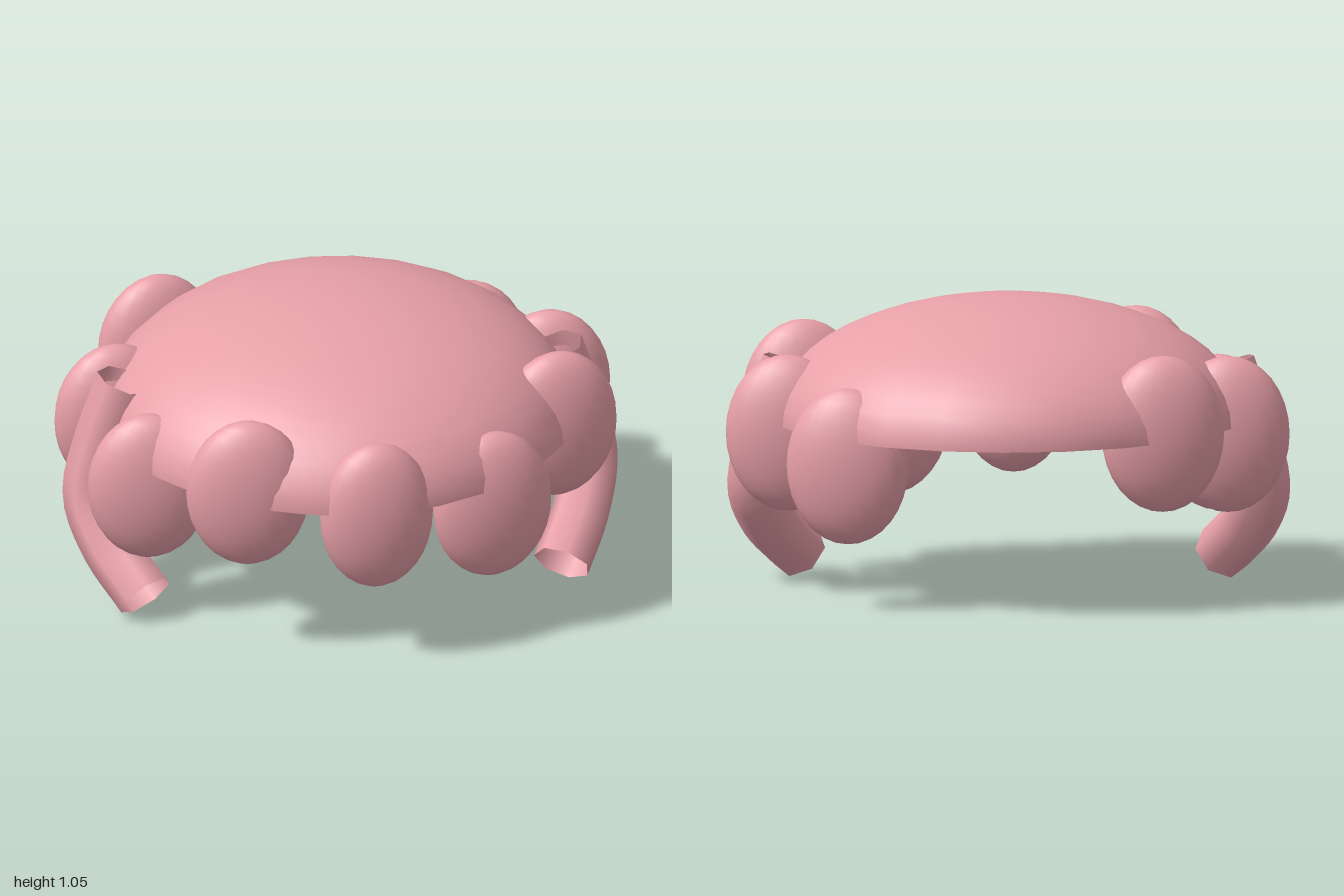
import * as THREE from 'three';

export function createModel() {
  const model = new THREE.Group();
  const material = new THREE.MeshStandardMaterial({ color: 0xe8a0a8, side: THREE.DoubleSide });

  function add(name, geometry, parent = model) {
    const mesh = new THREE.Mesh(geometry, material);
    mesh.name = name;
    parent.add(mesh);
    return mesh;
  }

  // Open, flattened half-sphere shell
  const dome = add('dome', new THREE.SphereGeometry(1, 24, 12, 0, Math.PI * 2, 0, Math.PI / 2));
  dome.scale.set(0.8425, 0.435, 0.8425);
  dome.position.set(0, 0.615, -0.0175);

  // Oval lobes around the rim; the back is left open
  const lobes = new THREE.Group();
  lobes.name = 'rimLobes';
  model.add(lobes);
  const lobeGeometry = new THREE.SphereGeometry(1, 24, 16);
  const spots = [[0, 0.755, 0], [0.44, 0.62, 0.15], [0.735, 0.273, 0.12], [0.782, -0.172, -0.06], [0.56, -0.565, -0.15]];
  const lift = [0, -0.06, 0.06];
  for (let i = -4; i <= 4; i++) {
    const [x, z, yaw] = spots[Math.abs(i)];
    const side = Math.sign(i);
    const lobe = add('rimLobe', lobeGeometry, lobes);
    lobe.position.set(side * x, 0.58 + lift[(i + 6) % 3], z);
    lobe.scale.set(i === 0 ? 0.203 : 0.219, 0.28, 0.108);
    lobe.rotation.y = side * yaw;
  }

  // Bent hollow arms reaching down and forward
  for (const side of [1, -1]) {
    const path = new THREE.CatmullRomCurve3([
      [0.775, 0.805, 0.005], [0.86, 0.55, 0], [0.897, 0.37, 0.02], [0.85, 0.22, 0.125], [0.75, 0.087, 0.285],
    ].map(([x, y, z]) => new THREE.Vector3(side * x, y, z)));
    add(side > 0 ? 'leftArm' : 'rightArm', new THREE.TubeGeometry(path, 20, 0.104, 7, false));
  }

  return model;
}
